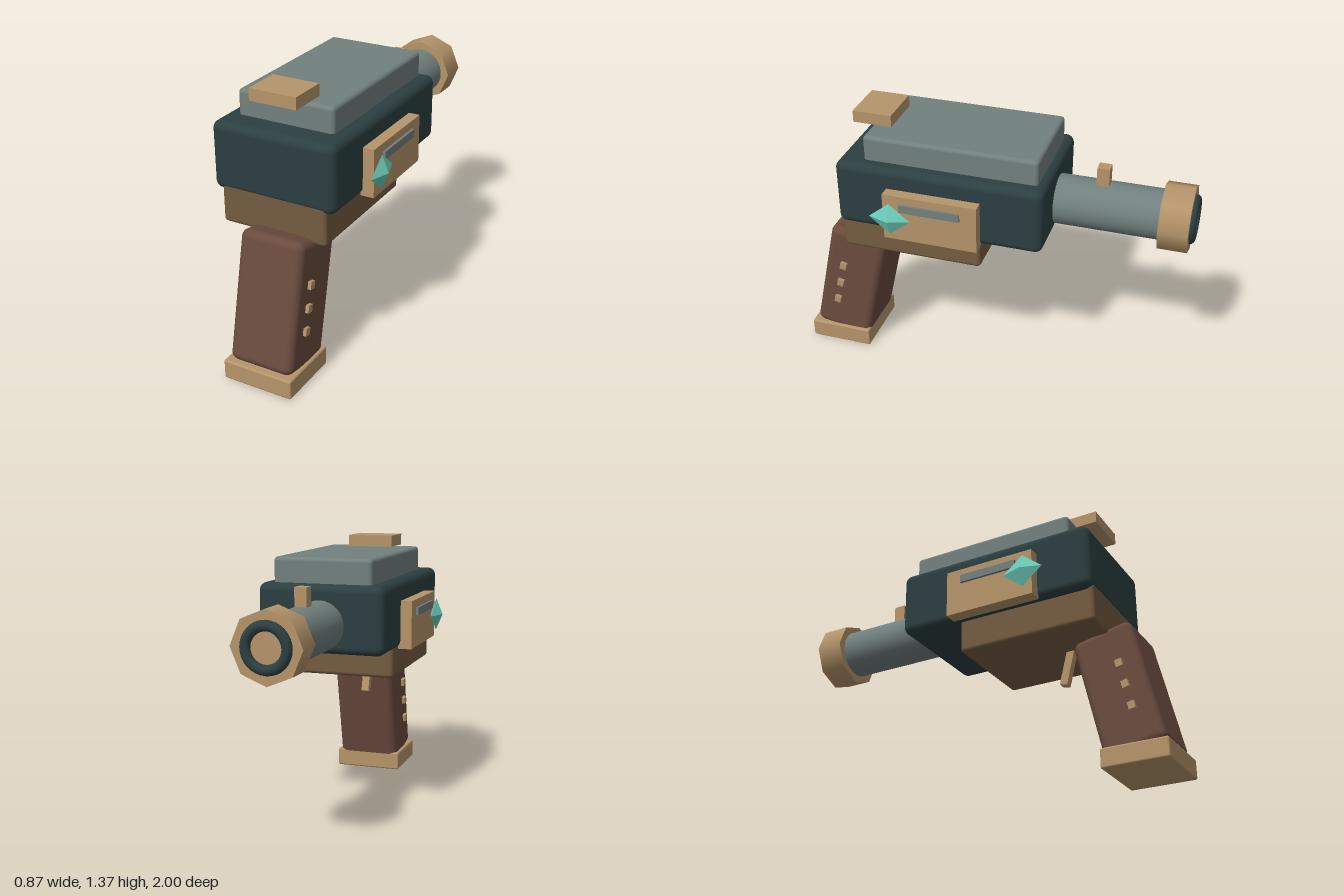
import * as THREE from 'three';
import { RoundedBoxGeometry } from 'three/addons/geometries/RoundedBoxGeometry.js';

const mat = (color, flatShading = false) => new THREE.MeshStandardMaterial({ color, flatShading });

export function createModel() {
  const model = new THREE.Group();
  const dark = mat(0x2c3f41), grey = mat(0x71807e), tan = mat(0xb5946a);
  const bronze = mat(0x745c41), wood = mat(0x6a4b3e), teal = mat(0x6ccbb8, true);

  const add = (name, geometry, material, x, y, z, tilt = 0) => {
    const mesh = new THREE.Mesh(geometry, material);
    mesh.name = name;
    mesh.position.set(x, y, z);
    mesh.rotation.x = tilt;
    model.add(mesh);
    return mesh;
  };
  const box = (w, h, d, r = 0) =>
    r ? new RoundedBoxGeometry(w, h, d, 4, r) : new THREE.BoxGeometry(w, h, d);

  // Receiver
  add('body', box(0.645, 0.34, 1.05, 0.04), dark, 0, 1.015, 0.213);
  add('topPlate', box(0.505, 0.2, 0.88, 0.02), grey, 0, 1.21, 0.168);
  add('lowerFrame', box(0.555, 0.24, 0.725, 0.02), bronze, 0, 0.8, 0.372);
  add('rearSight', box(0.245, 0.06, 0.2), tan, 0, 1.34, 0.608);

  // Barrel and octagonal muzzle
  const barrelY = 0.985;
  add('barrel', new THREE.CylinderGeometry(0.125, 0.125, 0.6, 32), grey, 0, barrelY, -0.55, Math.PI / 2);
  add('muzzle', new THREE.CylinderGeometry(0.17, 0.17, 0.145, 8), tan, 0, barrelY, -0.902, Math.PI / 2);
  add('muzzleRing', new THREE.TorusGeometry(0.097, 0.025, 12, 32), dark, 0, barrelY, -0.975);
  add('frontSight', box(0.06, 0.11, 0.062), tan, 0, 1.145, -0.533);

  // Side panels with slot and gem, mirrored
  for (const [label, s] of [['left', 1], ['right', -1]]) {
    add(label + 'Panel', box(0.07, 0.243, 0.475), tan, s * 0.345, 0.962, 0.23);
    add(label + 'Slot', box(0.03, 0.04, 0.305), grey, s * 0.378, 1.023, 0.228);
    const gem = add(label + 'Gem', new THREE.OctahedronGeometry(1), teal, s * 0.4, 0.964, 0.427);
    gem.scale.set(0.035, 0.085, 0.105);
  }

  // Raked grip with pins through it, standing on its base
  const gripX = 0.053, rake = -0.22;
  add('grip', box(0.335, 0.65, 0.31, 0.04), wood, gripX, 0.384, 0.76, rake);
  for (let i = 0; i < 3; i++)
    add('gripPin', box(0.37, 0.038, 0.034), tan, gripX, 0.503 - i * 0.112, 0.784 + i * 0.025, rake);
  add('gripBase', box(0.367, 0.1, 0.333, 0.01), tan, gripX, 0.05, 0.833);

  // Trigger
  add('trigger', box(0.04, 0.24, 0.04), tan, 0, 0.625, 0.478, 0.25);

  return model;
}
